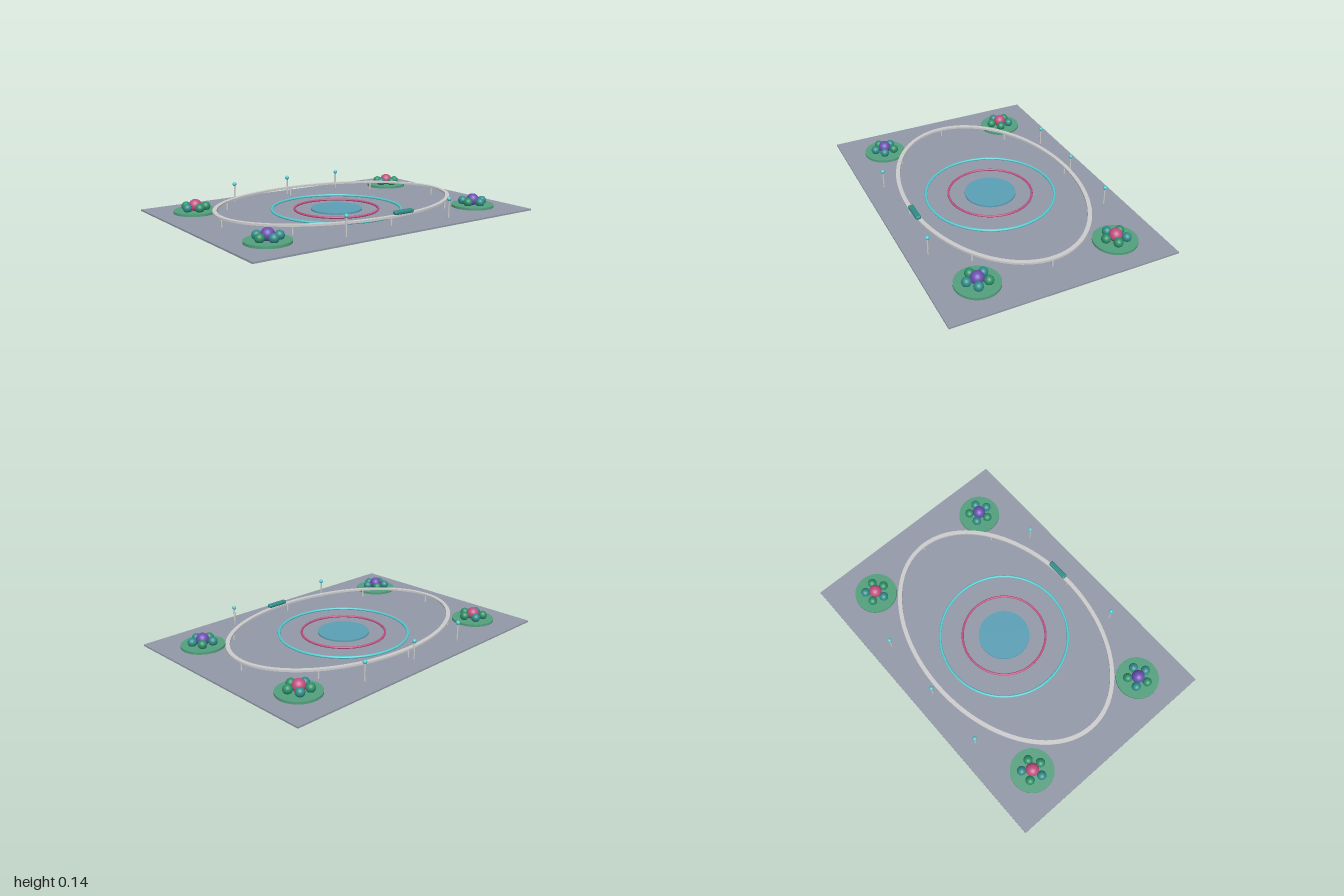
import * as THREE from 'three';
import { RoundedBoxGeometry } from 'three/addons/geometries/RoundedBoxGeometry.js';

const material = (color) => new THREE.MeshStandardMaterial({ color });
const MATS = {
  grey: material(0xcccccc),
  ground: material(0x9298a8),
  water: material(0x5a9fb5),
  cyan: material(0x55ccd2),
  pink: material(0xc05080),
  purple: material(0x6a4fb0),
  bed: material(0x529f7c),
  green: material(0x2c8f68),
  teal: material(0x2f8c88),
};

const GROUND_TOP = 0.01;
const TRACK = { rx: 0.538, rz: 0.8, half: 0.013, bottom: 0.058, height: 0.012 };

export function createModel() {
  const model = new THREE.Group();
  model.name = 'plaza';

  function add(parent, name, geometry, mat, x = 0, y = 0, z = 0) {
    const mesh = new THREE.Mesh(geometry, mat);
    mesh.name = name;
    mesh.position.set(x, y, z);
    parent.add(mesh);
    return mesh;
  }

  function group(name, x = 0, z = 0) {
    const g = new THREE.Group();
    g.name = name;
    g.position.set(x, 0, z);
    model.add(g);
    return g;
  }

  // Upright cylinder between two heights
  function addColumn(parent, name, radius, y0, y1, mat, x = 0, z = 0, sides = 12) {
    const geometry = new THREE.CylinderGeometry(radius, radius, y1 - y0, sides);
    return add(parent, name, geometry, mat, x, (y0 + y1) / 2, z);
  }

  // Ground slab
  add(model, 'ground', new THREE.BoxGeometry(1.41, GROUND_TOP, 2), MATS.ground, 0, GROUND_TOP / 2, 0);

  // Central pool and the two glowing rings
  addColumn(model, 'pool', 0.16, GROUND_TOP, 0.02, MATS.water, 0, 0, 64);
  const rings = [
    ['outerRing', 0.404, 0.008, MATS.cyan],
    ['innerRing', 0.262, 0.007, MATS.pink],
  ];
  for (const [name, radius, tube, mat] of rings) {
    add(model, name, new THREE.TorusGeometry(radius, tube, 10, 96), mat, 0, 0.016, 0).rotation.x = Math.PI / 2;
  }

  // Raised oval track: flat band of constant width
  const oval = (offset) =>
    new THREE.EllipseCurve(0, 0, TRACK.rx + offset, TRACK.rz + offset, 0, Math.PI * 2).getPoints(96);
  const band = new THREE.Shape(oval(TRACK.half));
  band.holes.push(new THREE.Path(oval(-TRACK.half)));
  const track = group('elevatedTrack');
  add(track, 'trackBand', new THREE.ExtrudeGeometry(band, { depth: TRACK.height, bevelEnabled: false }),
    MATS.grey, 0, TRACK.bottom, 0).rotation.x = -Math.PI / 2;

  // Track supports
  for (let i = 0; i < 8; i++) {
    const a = (i * Math.PI) / 4;
    addColumn(track, 'trackPost', 0.006, GROUND_TOP, TRACK.bottom, MATS.grey,
      TRACK.rx * Math.cos(a), TRACK.rz * Math.sin(a), 10);
  }

  // Tram riding on the left side of the track
  add(model, 'tram', new RoundedBoxGeometry(0.034, 0.024, 0.14, 3, 0.01), MATS.teal, 0.537, 0.082, -0.09);

  // Corner flower beds: five shrubs around a larger bloom
  for (const sx of [-1, 1]) {
    for (const sz of [-1, 1]) {
      const bed = group('flowerBed', sx * 0.436, sz * 0.756);
      addColumn(bed, 'bedDisc', 0.133, GROUND_TOP, 0.025, MATS.bed, 0, 0, 48);
      add(bed, 'bloom', new THREE.SphereGeometry(0.04, 24, 16), sx < 0 ? MATS.pink : MATS.purple, 0, 0.053, 0);
      for (let i = 0; i < 5; i++) {
        const a = (i * Math.PI * 2) / 5;
        const mat = (i + (sx > 0 ? 1 : 0)) % 2 ? MATS.teal : MATS.green;
        add(bed, 'shrub', new THREE.SphereGeometry(0.028, 20, 14), mat,
          0.064 * Math.cos(a), 0.045, 0.064 * Math.sin(a));
      }
    }
  }

  // Lamps along both long sides
  const lamps = [[-0.581, -0.408], [-0.581, 0], [-0.581, 0.405], [0.581, -0.408], [0.581, 0.35]];
  for (const [x, z] of lamps) {
    const lamp = group('lamp', x, z);
    addColumn(lamp, 'lampPost', 0.005, GROUND_TOP, 0.118, MATS.grey, 0, 0, 10);
    add(lamp, 'lampGlobe', new THREE.SphereGeometry(0.013, 16, 12), MATS.cyan, 0, 0.125, 0);
  }

  return model;
}
